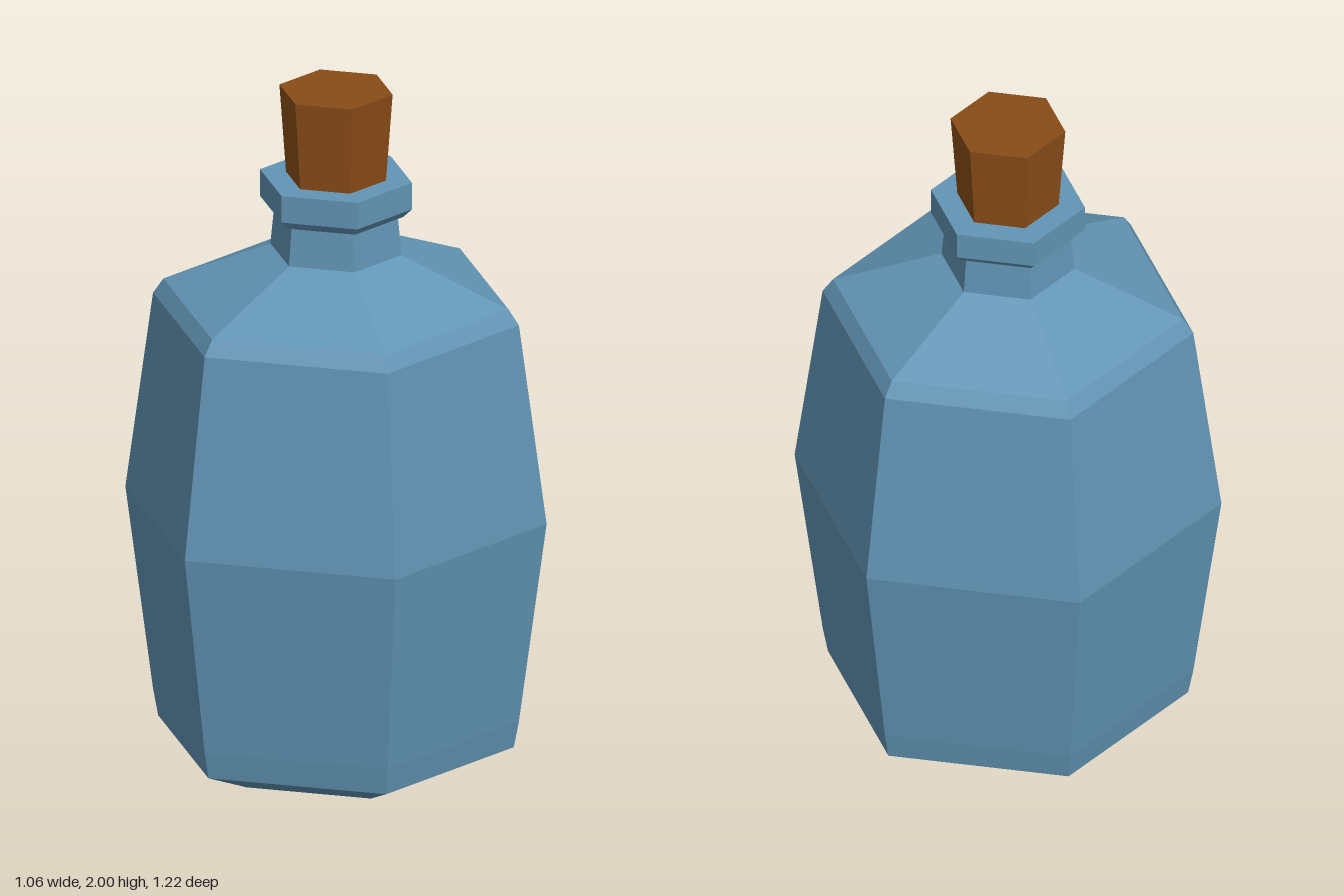
import * as THREE from 'three';

const SIDES = 6;

// Six-sided solid from [radius, height] pairs, corners on the z axis
function hexLathe(name, profile, color) {
  const points = profile.map(([r, y]) => new THREE.Vector2(r, y));
  const mesh = new THREE.Mesh(
    new THREE.LatheGeometry(points, SIDES),
    new THREE.MeshStandardMaterial({ color, flatShading: true })
  );
  mesh.name = name;
  return mesh;
}

export function createModel() {
  const group = new THREE.Group();
  group.name = 'corkedBottle';
  const glass = 0x6295b5;

  // Body: flat base, bevelled foot, bulging sides and sloped shoulder
  group.add(hexLathe('body', [
    [0, 0.005], [0.36, 0], [0.515, 0.07], [0.53, 0.15], [0.61, 0.75],
    [0.53, 1.34], [0.5, 1.385], [0.19, 1.52],
  ], glass));

  // Neck, tapering slightly up to the collar
  group.add(hexLathe('neck', [[0.19, 1.52], [0.179, 1.635]], glass));

  // Collar with a bevelled underside and a flat rim
  group.add(hexLathe('collar', [
    [0.179, 1.635], [0.195, 1.635], [0.22, 1.66], [0.22, 1.74], [0.14, 1.74],
  ], glass));

  // Cork, widening upwards
  group.add(hexLathe('cork', [
    [0, 1.7], [0.142, 1.7], [0.164, 2], [0, 2],
  ], 0x8a4c18));

  return group;
}
